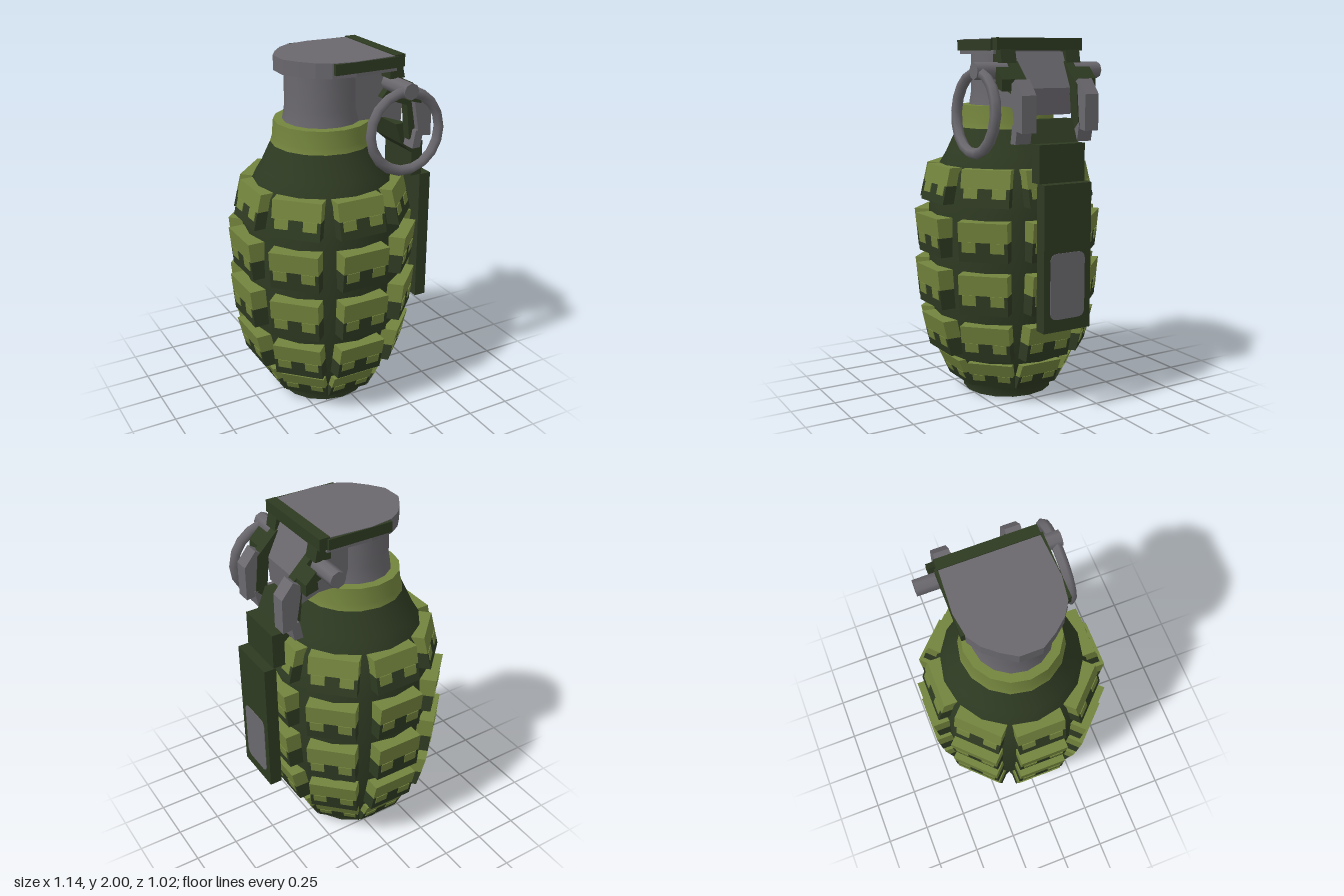
import * as THREE from 'three';

const AXIS = -0.058; // the body sits slightly left of centre, opposite the lever

const mat = (name, color, double) => {
  const m = new THREE.MeshStandardMaterial({ color });
  m.name = name;
  if (double) m.side = THREE.DoubleSide;
  return m;
};

// six-sided solid between two heights; each level has inner/outer z and x range
function hexa(x0, x1, yB, yT, inB, outB, inT, outT) {
  const c = [
    [x0, yB, outB], [x1, yB, outB], [x1, yT, outT], [x0, yT, outT],
    [x0, yB, inB], [x1, yB, inB], [x1, yT, inT], [x0, yT, inT],
  ];
  const quads = [[0, 1, 2, 3], [5, 4, 7, 6], [1, 5, 6, 2], [4, 0, 3, 7], [3, 2, 6, 7], [4, 5, 1, 0]];
  const pos = [];
  for (const [a, b, d, e] of quads) for (const i of [a, b, d, a, d, e]) pos.push(...c[i]);
  const g = new THREE.BufferGeometry();
  g.setAttribute('position', new THREE.Float32BufferAttribute(pos, 3));
  g.computeVertexNormals();
  return g;
}

const shapeOf = (pts) => new THREE.Shape(pts.map(([x, y]) => new THREE.Vector2(x, y)));

// x-y outline extruded from z0 to z1
function slab(pts, z0, z1) {
  return new THREE.ExtrudeGeometry(shapeOf(pts), { depth: z1 - z0, bevelEnabled: false }).translate(0, 0, z0);
}

export function createModel() {
  const model = new THREE.Group();
  const dark = mat('darkGreen', 0x2e3a22);
  const light = mat('lightGreen', 0x73843d);
  const metal = mat('greyMetal', 0x6a686d);

  const add = (parent, name, geo, material) => {
    const m = new THREE.Mesh(geo, material);
    m.name = name;
    parent.add(m);
    return m;
  };
  const lathe = (pts) =>
    new THREE.LatheGeometry(pts.map(([r, y]) => new THREE.Vector2(r, y)), 16).translate(AXIS, 0, 0);

  // core body
  add(model, 'bodyCore', lathe([
    [0, 0], [0.255, 0], [0.255, 0], [0.262, 0.07], [0.31, 0.1], [0.375, 0.25], [0.43, 0.5], [0.45, 0.8],
    [0.445, 1.08], [0.405, 1.28], [0.345, 1.38], [0.27, 1.54], [0.25, 1.6],
  ]), dark);
  add(model, 'collar', lathe([[0.283, 1.51], [0.27, 1.55], [0.262, 1.64], [0.262, 1.64], [0, 1.645]]), light);

  // raised blocks: [bottom, top, outer radius bottom, outer radius top, core radius, half width]
  const rows = [
    [0.08, 0.23, 0.315, 0.385, 0.27, 0.125],
    [0.27, 0.47, 0.435, 0.483, 0.34, 0.135],
    [0.54, 0.76, 0.49, 0.512, 0.38, 0.135],
    [0.83, 1.045, 0.49, 0.512, 0.38, 0.135],
    [1.12, 1.315, 0.476, 0.43, 0.33, 0.135],
  ];
  rows.forEach(([yB, yT, rB, rT, rIn, w], row) => {
    const y = (t) => yB + (yT - yB) * t;
    const r = (t) => rB + (rT - rB) * t;
    const lower = hexa(-w, w, yB, y(0.5), rIn, rB, rIn, r(0.5));
    const upper = hexa(-w, w, y(0.5), yT, rIn, r(0.5), rIn, rT);
    const leg = (a, b) => hexa(a, b, y(0.24), y(0.5), r(0.24) - 0.004, r(0.24) + 0.004, r(0.5) - 0.004, r(0.5) + 0.004);
    const legs = [leg(-0.86 * w, -0.3 * w), leg(0.3 * w, 0.86 * w)];
    for (let k = 0; k < 8; k++) {
      const block = new THREE.Group();
      block.name = `block_${row}_${k}`;
      add(block, 'blockLower', lower, dark);
      add(block, 'blockUpper', upper, light);
      legs.forEach((g) => add(block, 'blockPatch', g, light));
      block.position.x = AXIS;
      block.rotation.y = (k * Math.PI) / 4;
      model.add(block);
    }
  });

  // fuse head with a flat cap, rounded at the back
  add(model, 'fuseNeck', lathe([[0.215, 1.63], [0.2, 1.72], [0.2, 1.94]]), metal);
  const cap = [
    [0.25, -0.26], [0.25, 0.26], [0, 0.275], [-0.13, 0.255], [-0.2, 0.21], [-0.26, 0.14], [-0.31, 0.06],
    [-0.31, -0.06], [-0.26, -0.14], [-0.2, -0.21], [-0.13, -0.255], [0, -0.275],
  ].reverse();
  const capGeo = new THREE.ExtrudeGeometry(shapeOf(cap), { depth: 0.08, bevelEnabled: false })
    .rotateX(-Math.PI / 2).translate(0, 1.915, 0);
  add(model, 'fuseCap', capGeo, metal);
  add(model, 'fuseBlock', slab([[0, 1.64], [0.24, 1.64], [0.35, 1.6], [0.36, 1.74], [0.27, 1.93], [0, 1.93]], -0.155, 0.155), metal);

  // lever bent down the side
  add(model, 'leverTopBar', new THREE.BoxGeometry(0.06, 0.065, 0.53).translate(0.265, 1.9675, 0), dark);
  add(model, 'leverNeck', slab([
    [0.33, 1.58], [0.39, 1.58], [0.44, 1.46], [0.51, 1.46], [0.51, 1.26], [0.44, 1.26], [0.44, 1.4], [0.37, 1.46],
  ], -0.14, 0.14), dark);
  add(model, 'leverHandle', new THREE.BoxGeometry(0.07, 0.78, 0.29).translate(0.533, 0.87, 0), dark);

  // rounded badge on the handle
  const pad = new THREE.Shape();
  const hw = 0.107, hh = 0.177, c = 0.045;
  pad.moveTo(-hw + c, -hh).lineTo(hw - c, -hh).quadraticCurveTo(hw, -hh, hw, -hh + c);
  pad.lineTo(hw, hh - c).quadraticCurveTo(hw, hh, hw - c, hh);
  pad.lineTo(-hw + c, hh).quadraticCurveTo(-hw, hh, -hw, hh - c);
  pad.lineTo(-hw, -hh + c).quadraticCurveTo(-hw, -hh, -hw + c, -hh);
  add(model, 'handlePlate', new THREE.ExtrudeGeometry(pad, { depth: 0.005, bevelEnabled: false })
    .rotateY(Math.PI / 2).translate(0.566, 0.723, 0), metal);

  // paired bracket parts on both sides of the fuse
  for (const s of [-1, 1]) {
    const pair = (name, pts, z0, z1, material) =>
      add(model, name, slab(pts, s > 0 ? z0 : -z1, s > 0 ? z1 : -z0), material);
    pair('leverTopEdge', [[-0.12, 1.935], [0.25, 1.935], [0.25, 1.992], [-0.12, 1.992]], 0.255, 0.277, dark);
    pair('leverCorner', [[0.22, 1.87], [0.31, 1.87], [0.295, 1.94], [0.22, 1.94]], 0.155, 0.245, dark);
    pair('bracketArm', [[0.2, 1.76], [0.3, 1.88], [0.42, 1.76], [0.44, 1.56], [0.38, 1.5], [0.36, 1.7]], 0.145, 0.2, dark);
    pair('bracketTab', [[0.32, 1.75], [0.39, 1.73], [0.39, 1.79], [0.33, 1.85]], 0.16, 0.29, dark);
    pair('bracketProng', [[0.42, 1.53], [0.495, 1.52], [0.495, 1.71], [0.43, 1.79], [0.38, 1.76]], 0.15, 0.235, metal);
    pair('bracketFoot', [[0.38, 1.46], [0.43, 1.46], [0.45, 1.56], [0.4, 1.56]], 0.145, 0.235, metal);
  }

  // safety pin through the bracket, and its pull ring
  add(model, 'safetyPin', new THREE.CylinderGeometry(0.045, 0.045, 0.77, 8)
    .rotateX(Math.PI / 2).translate(0.265, 1.83, 0), metal);
  const ring = add(model, 'pullRing', new THREE.TorusGeometry(0.21, 0.029, 6, 18), metal);
  ring.position.set(0.245, 1.615, 0.365);
  ring.rotation.x = -0.06;
  return model;
}
